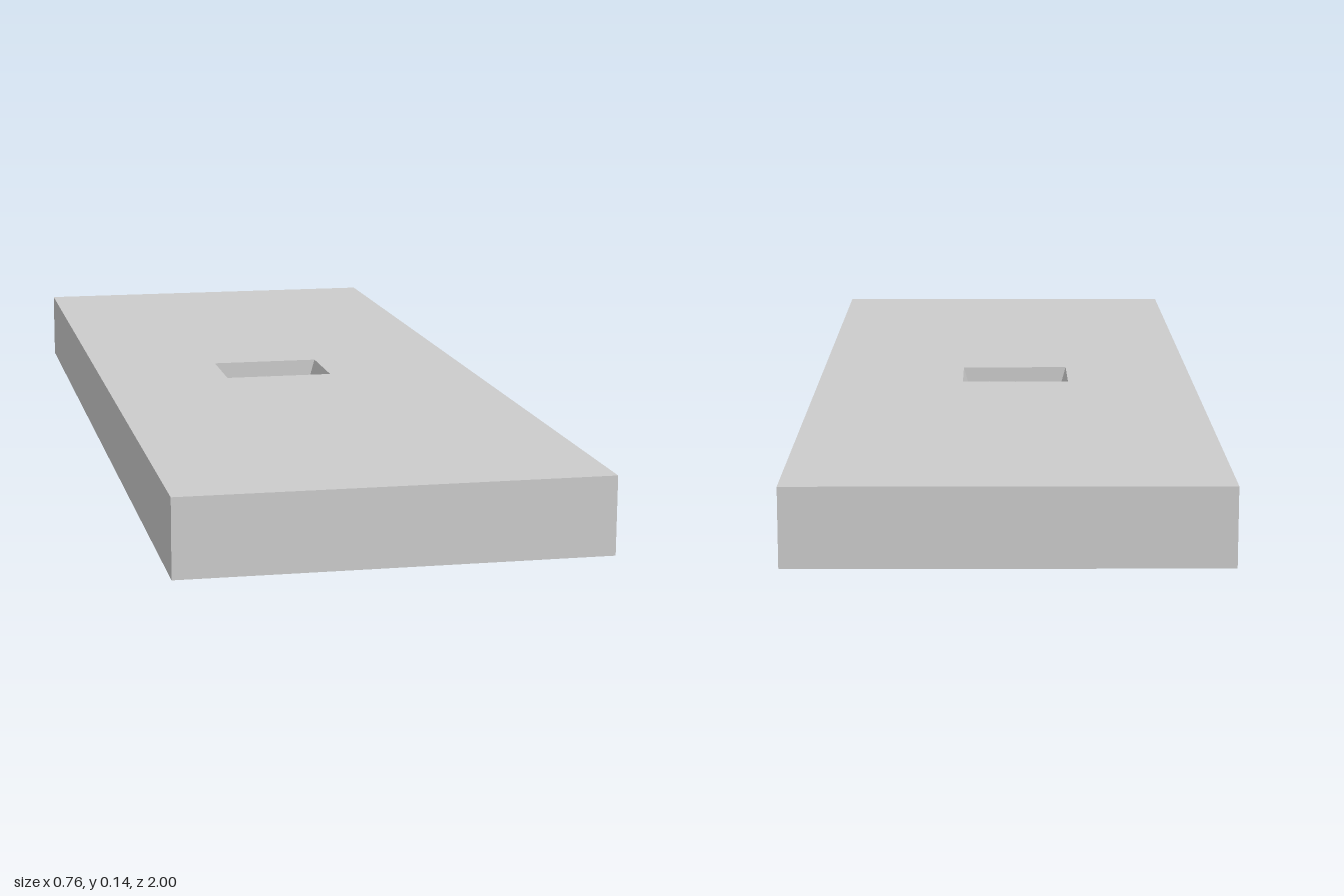
import * as THREE from 'three';

const W = 0.76, H = 0.14, L = 2;
const FLOOR = 0.04;
const pit = { x0: -0.127, x1: 0.087, z0: -0.09, z1: 0.066, inset: 0.028 };

const material = new THREE.MeshStandardMaterial({ color: 0xcccccc, flatShading: true });

function part(name, geometry, x = 0, y = 0, z = 0) {
  const mesh = new THREE.Mesh(geometry, material);
  mesh.name = name;
  mesh.position.set(x, y, z);
  return mesh;
}

// Box with its upper face left out
function openBox(w, h, d) {
  const g = new THREE.BoxGeometry(w, h, d);
  const index = Array.from(g.index.array);
  index.splice(12, 6);
  g.clearGroups();
  g.setIndex(index);
  return g;
}

// Top surface with the rectangular pit opening
function topGeometry() {
  const rect = (path, x0, x1, z0, z1) =>
    path.setFromPoints([[x0, -z0], [x1, -z0], [x1, -z1], [x0, -z1]].map(p => new THREE.Vector2(...p)));
  const shape = rect(new THREE.Shape(), -W / 2, W / 2, -L / 2, L / 2);
  shape.holes.push(rect(new THREE.Path(), pit.x0, pit.x1, pit.z0, pit.z1));
  return new THREE.ShapeGeometry(shape).rotateX(-Math.PI / 2);
}

// Pit lining: inward-facing open box, narrowing in x toward the floor
function pitGeometry() {
  const w = pit.x1 - pit.x0;
  const g = openBox(w, H - FLOOR, pit.z1 - pit.z0);
  const p = g.attributes.position;
  for (let i = 0; i < p.count; i++) {
    if (p.getY(i) < 0) p.setX(i, p.getX(i) * (1 - 2 * pit.inset / w));
  }
  g.setIndex(Array.from(g.index.array).reverse());
  g.computeVertexNormals();
  return g;
}

export function createModel() {
  const model = new THREE.Group();
  model.name = 'spikePitFloor';

  model.add(part('slab', openBox(W, H, L), 0, H / 2, 0));
  model.add(part('slabTop', topGeometry(), 0, H, 0));
  model.add(part('pitWalls', pitGeometry(),
    (pit.x0 + pit.x1) / 2, (H + FLOOR) / 2, (pit.z0 + pit.z1) / 2));

  // Three rows of spikes, each rising from a low round collar
  const spikes = new THREE.Group();
  spikes.name = 'spikes';
  const profile = [[0.021, 0], [0.019, 0.007], [0.013, 0.009], [0.011, 0.025], [0, 0.075]]
    .map(p => new THREE.Vector2(...p));
  const spike = new THREE.LatheGeometry(profile, 10);
  for (const x of [-0.08, -0.022, 0.034]) {
    for (const z of [-0.065, -0.009, 0.046]) spikes.add(part('spike', spike, x, FLOOR, z));
  }
  model.add(spikes);

  // Small rubble scattered between the spikes
  const rubble = new THREE.Group();
  rubble.name = 'rubble';
  const stone = new THREE.DodecahedronGeometry(1);
  const spots = [[-0.06, -0.045, 0.009], [-0.05, -0.03, 0.007], [-0.07, -0.035, 0.006],
    [-0.045, 0.005, 0.007], [-0.01, -0.038, 0.006], [0.008, -0.03, 0.007],
    [0.012, 0.012, 0.006], [0.036, 0.018, 0.009], [0.046, 0.01, 0.007], [0.01, -0.06, 0.006]];
  spots.forEach(([x, z, r], i) => {
    const m = part('stone', stone, x, FLOOR + r * 0.5, z);
    m.scale.set(r, r * 0.8, r * 0.9);
    m.rotation.set(i, i * 2.1, i * 0.7);
    rubble.add(m);
  });
  model.add(rubble);

  return model;
}
